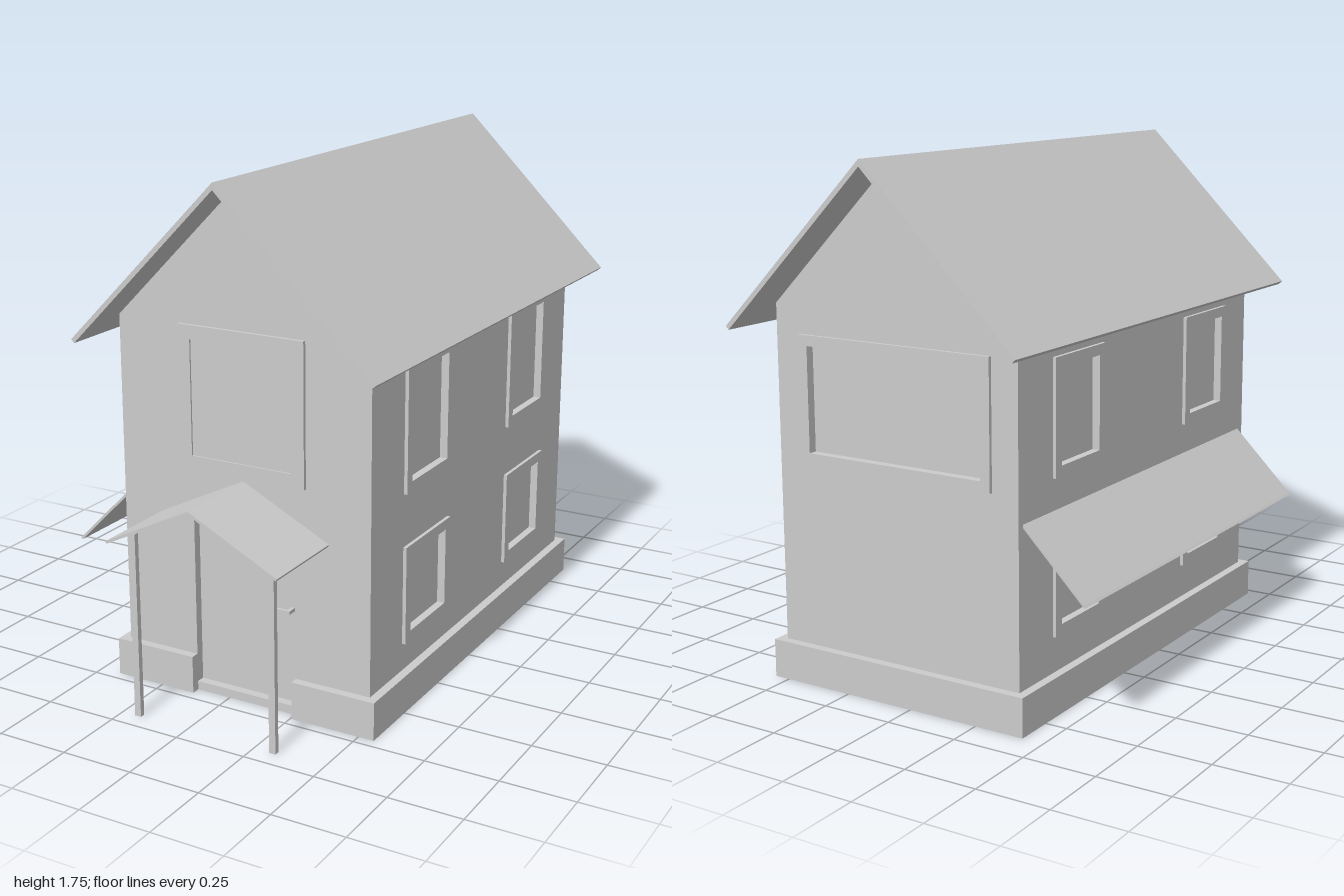
import * as THREE from 'three';

const material = new THREE.MeshStandardMaterial({ color: 0xcccccc, flatShading: true, side: THREE.DoubleSide });
const HALF_W = 0.46, HALF_D = 0.77, BASE_H = 0.13, EAVE = 1.265, APEX = 1.725;

function add(parent, name, geometry, x = 0, y = 0, z = 0) {
  const mesh = new THREE.Mesh(geometry, material);
  mesh.name = name;
  mesh.position.set(x, y, z);
  parent.add(mesh);
  return mesh;
}

const polygon = (pts) => new THREE.Shape(pts.map(([x, y]) => new THREE.Vector2(x, y)));
const rect = (x0, y0, x1, y1) => polygon([[x0, y0], [x1, y0], [x1, y1], [x0, y1]]);
const extrude = (shape, depth) => new THREE.ExtrudeGeometry(shape, { depth, bevelEnabled: false });

// Sheet joining a row of cross-sections, each a list of [x, y, z]
function sheet(sections) {
  const n = sections[0].length, index = [];
  for (let i = 0; i < sections.length - 1; i++) {
    for (let j = 0; j < n - 1; j++) {
      const a = i * n + j, c = a + n;
      index.push(a, a + 1, c, a + 1, c + 1, c);
    }
  }
  const geometry = new THREE.BufferGeometry();
  geometry.setAttribute('position', new THREE.Float32BufferAttribute(sections.flat(2), 3));
  geometry.setIndex(index);
  const flat = geometry.toNonIndexed();
  flat.computeVertexNormals();
  return flat;
}

// Two-sided sloping roof slab, run along z from z0 to z1
function gableRoof(halfWidth, eaveY, ridgeY, thickness, z0, z1) {
  const len = Math.hypot(halfWidth, ridgeY - eaveY);
  const nx = (ridgeY - eaveY) / len * thickness, ny = halfWidth / len * thickness;
  const drop = thickness * len / halfWidth;
  const shape = polygon([
    [-halfWidth, eaveY], [-halfWidth + nx, eaveY - ny], [0, ridgeY - drop],
    [halfWidth - nx, eaveY - ny], [halfWidth, eaveY], [0, ridgeY],
  ]);
  return extrude(shape, z1 - z0).translate(0, 0, z0);
}

// Wall panel facing local +z, with framed windows [x0, y0, x1, y1, frame, recess]
function addWall(house, name, outline, windows, distance, angle, door) {
  const wall = new THREE.Group();
  wall.name = name;
  wall.rotation.y = angle;
  wall.position.set(Math.sin(angle) * distance, 0, Math.cos(angle) * distance);
  const panel = polygon(outline);
  if (door) panel.holes.push(door);
  for (const [x0, y0, x1, y1, f, recess] of windows) {
    const inner = [x0 + f, y0 + f, x1 - f, y1 - f];
    panel.holes.push(rect(...inner));
    const frame = rect(x0, y0, x1, y1);
    frame.holes.push(rect(...inner));
    add(wall, 'windowFrame', extrude(frame, 0.037), 0, 0, -0.025);
    add(wall, 'windowPane', new THREE.ShapeGeometry(rect(...inner)), 0, 0, 0.012 - recess);
  }
  add(wall, 'wallPanel', new THREE.ShapeGeometry(panel));
  house.add(wall);
}

export function createModel() {
  const model = new THREE.Group();
  const house = new THREE.Group();
  house.name = 'house';
  house.position.set(0.065, 0, -0.085);
  model.add(house);

  // Walls and windows
  const gable = [[-HALF_W, BASE_H], [-0.19, BASE_H], [-0.19, 0.605], [0.19, 0.605], [0.19, BASE_H],
    [HALF_W, BASE_H], [HALF_W, EAVE], [0, APEX], [-HALF_W, EAVE]];
  const backGable = gable.filter((p, i) => i < 1 || i > 4);
  const side = [[-HALF_D, BASE_H], [HALF_D, BASE_H], [HALF_D, EAVE], [-HALF_D, EAVE]];
  const windowGrid = (columns, rows) => columns.flatMap(([x0, x1]) =>
    rows.map(([y0, y1]) => [x0, y0, x1, y1, 0.035, 0.027]));
  addWall(house, 'frontWall', gable, [[-0.23, 0.785, 0.23, 1.262, 0.046, 0.006]], HALF_D, 0);
  addWall(house, 'backWall', backGable, [[-0.365, 0.75, 0.365, 1.17, 0.035, 0.03]], HALF_D, Math.PI);
  addWall(house, 'leftWall', side,
    windowGrid([[-0.55, -0.225], [0.245, 0.57]], [[0.225, 0.56], [0.74, 1.172]]), HALF_W, Math.PI / 2);
  addWall(house, 'rightWall', side,
    windowGrid([[-0.575, -0.275], [0.285, 0.595]], [[0.25, 0.53], [0.765, 1.145]]), HALF_W, -Math.PI / 2);

  // Plinth: open skirt with a ledge, broken at the doorway
  const o = 0.03, W = HALF_W + o, D = HALF_D + o;
  const plan = [
    [-0.19, HALF_D - 0.035, -0.19, HALF_D - 0.035], [-0.19, D, -0.19, HALF_D], [-W, D, -HALF_W, HALF_D],
    [-W, -D, -HALF_W, -HALF_D], [W, -D, HALF_W, -HALF_D], [W, D, HALF_W, HALF_D],
    [0.19, D, 0.19, HALF_D], [0.19, HALF_D - 0.035, 0.19, HALF_D - 0.035],
  ];
  add(house, 'plinth', sheet(plan.map(([x, z, ix, iz]) => [[x, 0, z], [x, BASE_H, z], [ix, BASE_H, iz]])));

  // Doorway, door and lever handles
  const opening = [[-0.19, 0.03], [-0.19, 0.605], [0.19, 0.605], [0.19, 0.03], [-0.19, 0.03]];
  add(house, 'doorway', sheet(opening.map(([x, y]) => [[x, y, HALF_D], [x, y, HALF_D - 0.035]])));
  add(house, 'threshold', new THREE.PlaneGeometry(0.38, 0.03), 0, 0.015, HALF_D);
  add(house, 'door', new THREE.BoxGeometry(0.38, 0.575, 0.02), 0, 0.3175, 0.73);
  for (const s of [-1, 1]) {
    add(house, 'handleStem', new THREE.BoxGeometry(0.012, 0.012, 0.03), 0.164, 0.356, 0.73 + s * 0.025);
    add(house, 'handleLever', new THREE.BoxGeometry(0.062, 0.012, 0.01), 0.139, 0.356, 0.73 + s * 0.04);
  }

  // Main roof
  add(house, 'roof', gableRoof(0.545, 1.2, 1.745, 0.016, -0.915, 0.915));

  // Porch roof and posts
  add(house, 'porchRoof', gableRoof(0.3125, 0.617, 0.772, 0.009, HALF_D, 1.085));
  for (const s of [-1, 1]) {
    add(house, 'porchPost', new THREE.BoxGeometry(0.023, 0.632, 0.018), s * 0.254, 0.316, 1.017);
  }

  // Side awning
  const awning = polygon([[-0.46, 0.66], [-0.676, 0.444], [-0.682, 0.437], [-0.675, 0.433], [-0.46, 0.648]]);
  add(house, 'awning', extrude(awning, 1.48), 0, 0, -0.745);
  return model;
}
